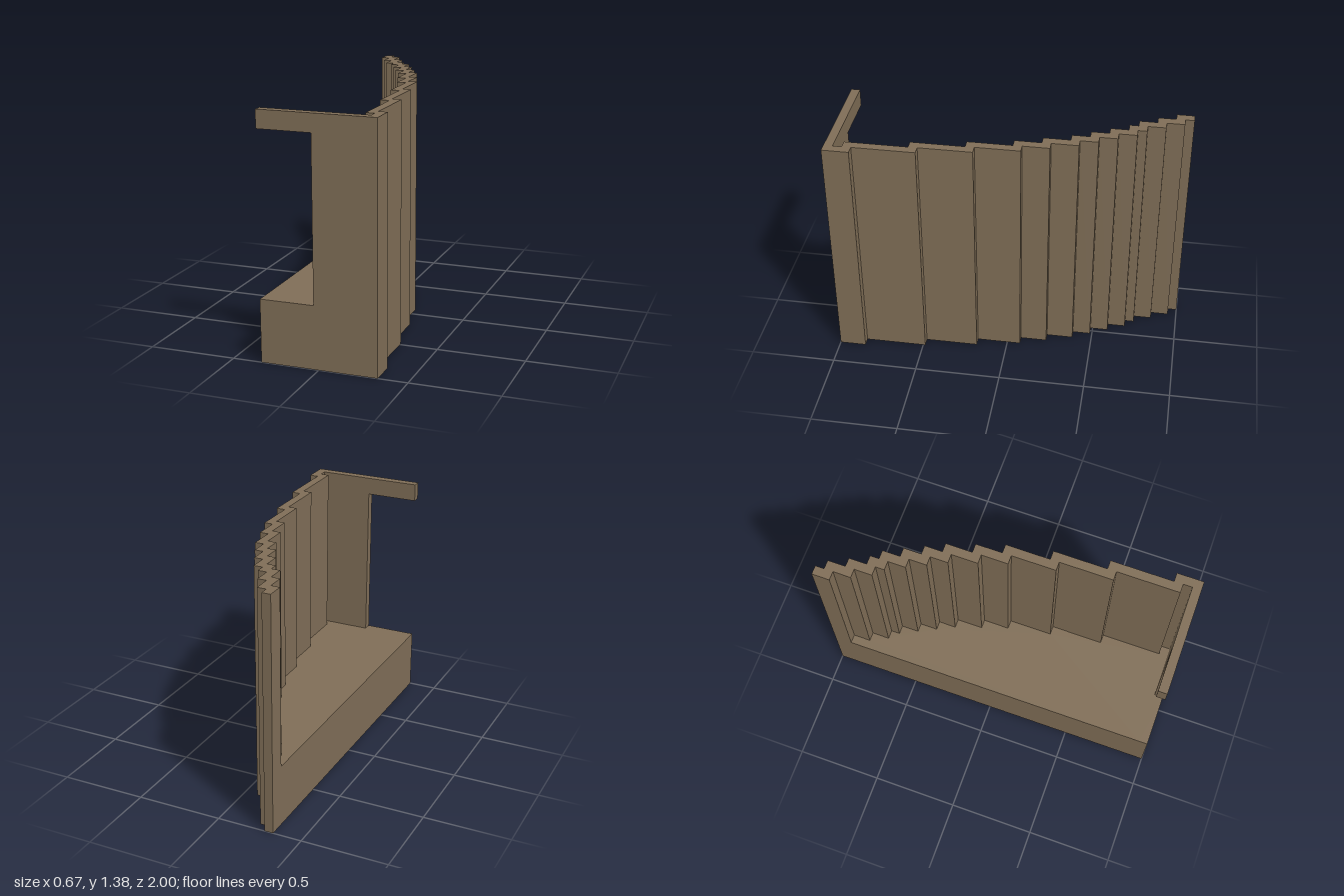
import * as THREE from 'three';

const U = 2 / 39;              // module size of the stepped plan
const COLS = 13, DEPTH = 39, HEIGHT = 27, FLOOR = 7;
// depth at which each column of the plan begins, back to front
const START = [0, 1, 3, 5, 6, 8, 10, 12, 15, 18, 23, 29, 36];

const clay = new THREE.MeshStandardMaterial({ color: 0x806e57 });
clay.name = 'brown clay';

// two points per column, forming a staircase line
const stairs = (starts) => starts.flatMap((d, i) => [[i, d], [i + 1, d]]);

const shapeOf = (points) => new THREE.Shape(points.map(([a, b]) => new THREE.Vector2(a * U, b * U)));

const extrude = (points, depth) =>
  new THREE.ExtrudeGeometry(shapeOf(points), { depth: depth * U, bevelEnabled: false });

// plan outline (column, depth) raised from the ground
function raisePlan(points, height) {
  return extrude(points, height)
    .rotateX(Math.PI / 2)
    .translate(-COLS * U / 2, height * U, -DEPTH * U / 2);
}

export function createModel() {
  const group = new THREE.Group();
  group.name = 'steppedShell';
  const add = (name, geometry) => {
    const mesh = new THREE.Mesh(geometry, clay);
    mesh.name = name;
    group.add(mesh);
  };

  const front = DEPTH - 1;
  const outer = stairs(START);
  const inner = stairs(START.slice(1).map((d) => d + 1));

  // one-module-thick stepped wall
  add('steppedWall', raisePlan([...outer, [COLS, front], [COLS - 1, front], ...inner.slice().reverse()], HEIGHT));

  // solid floor filling the inside of the wall
  add('floor', raisePlan([...inner, [COLS - 1, front], [0, front]], FLOOR));

  // front wall with the open bay below its lintel
  add('frontWall', extrude(
    [[0, 0], [COLS, 0], [COLS, HEIGHT], [0, HEIGHT], [0, 25], [6, 25], [6, FLOOR], [0, FLOOR]], 1,
  ).translate(-COLS * U / 2, 0, front * U - 1));

  return group;
}
